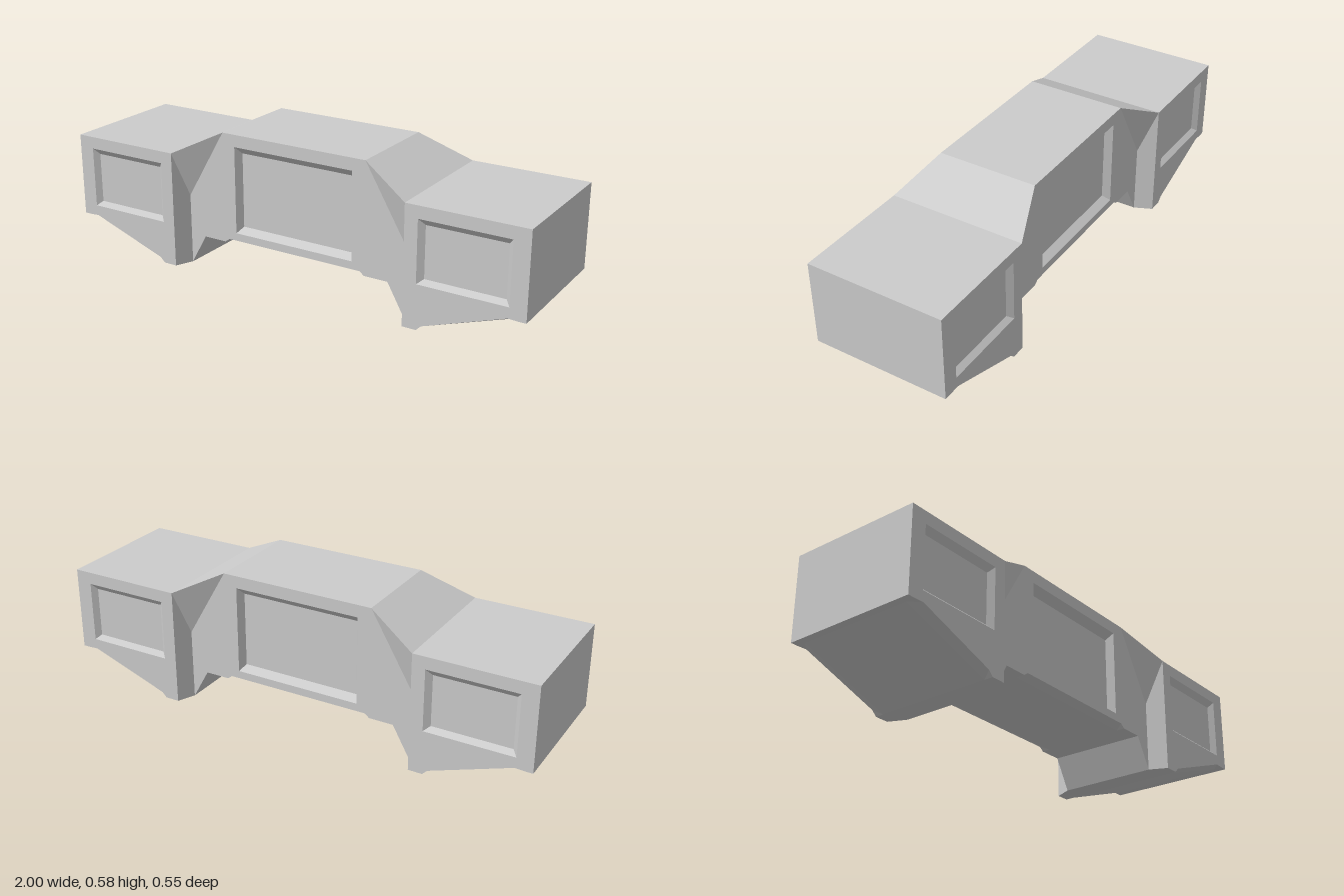
import * as THREE from 'three';

const material = new THREE.MeshStandardMaterial({ color: 0xcccccc, flatShading: true });
const V = (p) => new THREE.Vector3(...p);

// Every part is modelled in the quarter +x, +z and mirrored to the other three.
function makePart(name, triangles) {
  const positions = [];
  for (const sx of [1, -1]) for (const sz of [1, -1]) {
    for (const t of triangles) {
      const order = sx * sz > 0 ? [0, 1, 2] : [0, 2, 1];
      for (const i of order) positions.push(t[i].x * sx, t[i].y, t[i].z * sz);
    }
  }
  const geometry = new THREE.BufferGeometry();
  geometry.setAttribute('position', new THREE.Float32BufferAttribute(positions, 3));
  geometry.computeVertexNormals();
  const mesh = new THREE.Mesh(geometry, material);
  mesh.name = name;
  return mesh;
}

// Convex polygon as a fan, turned to face the given outward direction.
function poly(points, outward) {
  const p = points.map(V);
  const out = V(outward);
  const tris = [];
  for (let i = 1; i < p.length - 1; i++) {
    const n = p[i].clone().sub(p[0]).cross(p[i + 1].clone().sub(p[0]));
    tris.push(n.dot(out) >= 0 ? [p[0], p[i], p[i + 1]] : [p[0], p[i + 1], p[i]]);
  }
  return tris;
}

// Flat face at depth z, with an optional hole.
function face(contour, z, hole = []) {
  const outer = contour.map((p) => new THREE.Vector2(...p));
  const inner = hole.map((p) => new THREE.Vector2(...p));
  const all = [...outer, ...inner];
  return THREE.ShapeUtils.triangulateShape(outer, inner.length ? [inner] : [])
    .flatMap((t) => poly(t.map((i) => [all[i].x, all[i].y, z]), [0, 0, 1]));
}

const rect = (x0, x1, y0, y1) => [[x0, y0], [x1, y0], [x1, y1], [x0, y1]];

// Recessed panel: sloping walls from the rim down to a smaller floor.
function recess(rim, floor, z, depth, sides) {
  const a = rim.map((p) => [...p, z]);
  const b = floor.map((p) => [...p, z - depth]);
  const inward = [[0, 1, 0], [-1, 0, 0], [0, -1, 0], [1, 0, 0]];
  const walls = sides.flatMap((i) => {
    const j = (i + 1) % 4;
    return poly([a[i], a[j], b[j], b[i]], inward[i]);
  });
  return [...walls, ...poly(b, [0, 0, 1])];
}

export function createModel() {
  const group = new THREE.Group();
  const add = (name, ...lists) => group.add(makePart(name, lists.flat()));
  const ZC = 0.205, ZW = 0.277;
  const up = [0, 1, 0], down = [0, -1, 0], side = [1, 0, 0];
  // Strip from the middle plane out to the front edge
  const strip = (x0, y0, x1, y1, z0, z1, out) =>
    poly([[x0, y0, 0], [x0, y0, z0], [x1, y1, z1], [x1, y1, 0]], out);

  // Centre section, outlined around half of its window
  add('centreFace', face([
    [0, 0.58], [0, 0.53], [0.265, 0.53], [0.265, 0.172], [0, 0.172], [0, 0.14],
    [0.3, 0.14], [0.32, 0.125], [0.42, 0.125], [0.49, 0], [0.49, 0.29], [0.32, 0.58],
  ], ZC));
  add('centreWindow', recess(rect(0, 0.265, 0.172, 0.53), rect(0, 0.248, 0.194, 0.5), ZC, 0.03, [0, 1, 2]));

  // Wing faces with their smaller windows
  const rim = rect(0.575, 0.935, 0.18, 0.43);
  add('wingFace', face([
    [0.522, 0], [0.58, 0], [0.6, 0.02], [0.93, 0.137], [0.97, 0.135],
    [1, 0.135], [1, 0.48], [0.522, 0.48],
  ], ZW, rim));
  add('wingWindow', recess(rim, rect(0.597, 0.915, 0.198, 0.405), ZW, 0.02, [0, 1, 2, 3]));
  add('wingEnd', strip(1, 0.135, 1, 0.48, ZW, ZW, side));

  // Angled faces joining the wings to the centre
  const A = [0.522, 0.48, ZW], B = [0.32, 0.58, ZC], C = [0.49, 0.29, ZC];
  add('shoulder',
    poly([A, B, C], [-1, 0, 1]),
    poly([A, C, [0.49, 0, ZC], [0.522, 0, ZW]], [-1, 0, 0.2]));

  // Roof
  add('roof',
    strip(0, 0.58, 0.32, 0.58, ZC, ZC, up),
    strip(0.32, 0.58, 0.522, 0.48, ZC, ZW, up),
    strip(0.522, 0.48, 1, 0.48, ZW, ZW, up));

  // Centre underside with a chamfered notch along its edge
  const zc = 0.17;
  add('centreUnderside',
    strip(0, 0.125, 0.32, 0.125, zc, zc, down),
    poly([[0, 0.14, ZC], [0.3, 0.14, ZC], [0.32, 0.125, zc], [0, 0.125, zc]], down),
    poly([[0.32, 0.125, ZC], [0.3, 0.14, ZC], [0.32, 0.125, zc]], [-1, -1, 0]),
    strip(0.32, 0.125, 0.42, 0.125, ZC, ZC, down),
    strip(0.42, 0.125, 0.49, 0, ZC, ZC, [-1, -1, 0]));

  // Foot and sloping wing underside, chamfered in the same way
  const zw = 0.24;
  add('foot', poly([[0.49, 0, 0], [0.49, 0, ZC], [0.522, 0, ZW], [0.58, 0, ZW], [0.58, 0, 0]], down));
  add('wingUnderside',
    strip(0.58, 0, 0.97, 0.135, zw, zw, down),
    poly([[0.6, 0.02, ZW], [0.93, 0.137, ZW], [0.97, 0.135, zw], [0.58, 0, zw]], down),
    poly([[0.97, 0.135, ZW], [0.93, 0.137, ZW], [0.97, 0.135, zw]], down),
    poly([[0.58, 0, ZW], [0.6, 0.02, ZW], [0.58, 0, zw]], side),
    strip(0.97, 0.135, 1, 0.135, ZW, ZW, down));

  return group;
}
